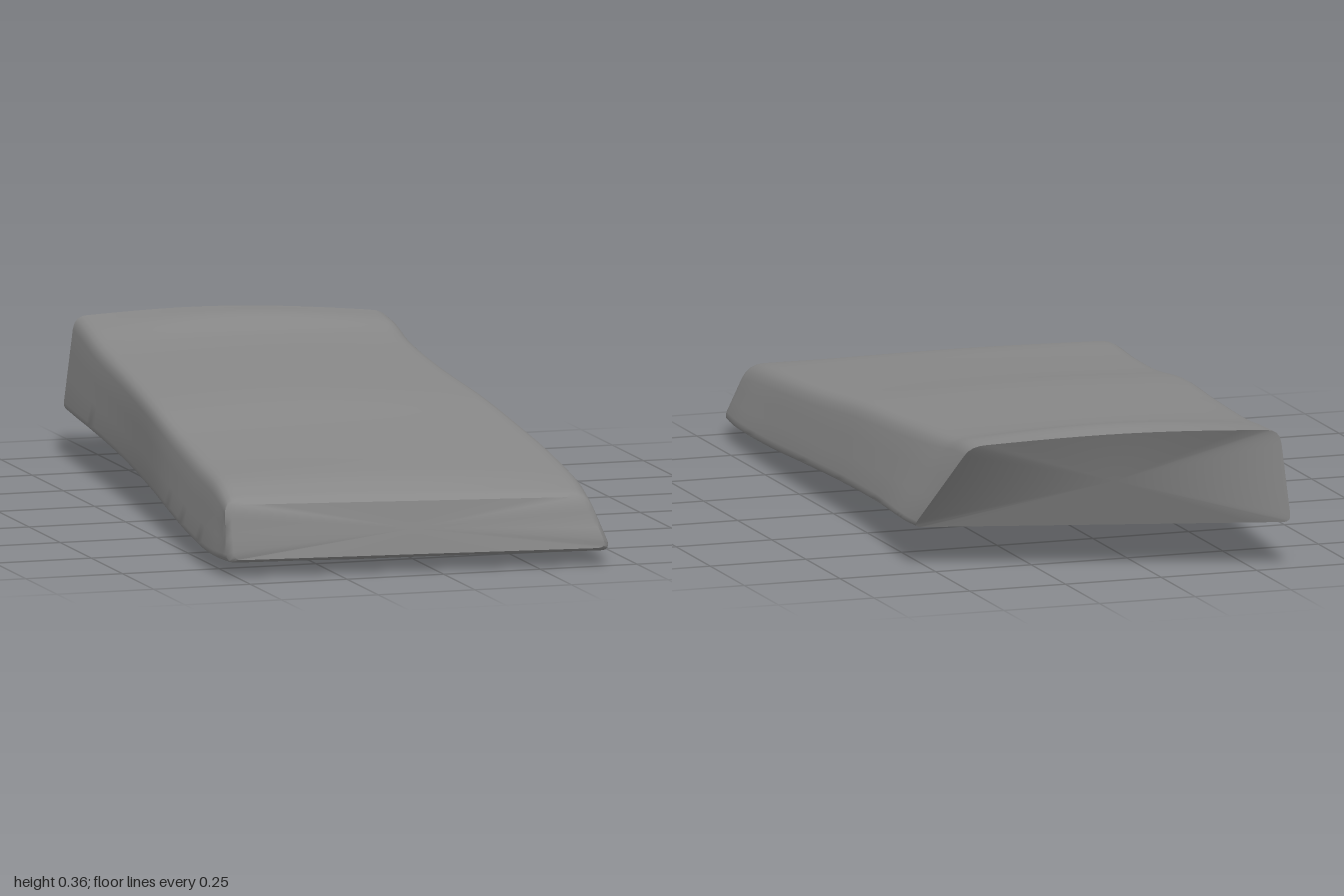
import * as THREE from 'three';
import { toCreasedNormals } from 'three/addons/utils/BufferGeometryUtils.js';

// The four long edges of the slab, each running from the front to the back
const edge = (...pts) => new THREE.CatmullRomCurve3(pts.map(p => new THREE.Vector3(...p)));
const bottomRight = edge([-0.525, 0.037, 0.905], [-0.535, 0.037, 0.78], [-0.51, 0.045, 0.52], [-0.475, 0.06, 0.25],
  [-0.44, 0.075, 0], [-0.4, 0.095, -0.35], [-0.37, 0.11, -0.7], [-0.355, 0.113, -0.86], [-0.34, 0.115, -1]);
const bottomLeft = edge([0.435, 0.037, 1.005], [0.46, 0.042, 0.85], [0.475, 0.05, 0.58], [0.485, 0.065, 0.28],
  [0.49, 0.075, 0], [0.505, 0.085, -0.3], [0.53, 0.095, -0.52], [0.537, 0.098, -0.61], [0.535, 0.1, -0.68]);
const topLeft = edge([0.38, 0.178, 0.975], [0.4, 0.2, 0.83], [0.42, 0.225, 0.57], [0.43, 0.25, 0.27],
  [0.43, 0.275, 0], [0.43, 0.295, -0.35], [0.44, 0.32, -0.68], [0.45, 0.338, -0.8], [0.46, 0.342, -0.9]);
const topRight = edge([-0.525, 0.187, 0.88], [-0.51, 0.217, 0.76], [-0.48, 0.23, 0.52], [-0.45, 0.25, 0.25],
  [-0.43, 0.28, 0], [-0.385, 0.3, -0.35], [-0.345, 0.32, -0.7], [-0.325, 0.338, -0.87], [-0.31, 0.35, -1]);

// Swell of the top (x), sag of the underside (y) and rearward bow of the top (z)
const swell = edge([0, 0, 0], [0.008, 0.018, 0], [0.01, 0.047, 0], [0.01, 0.03, 0], [0.014, 0.01, 0],
  [0.014, 0.008, 0], [0.012, 0.004, 0], [0.022, 0.002, 0.008], [0.014, 0, 0.018]);

const STEPS = 48, SPAN = 12, ROUND = 4, BEVEL = 0.013;
const RADII = [0.02, 0.025, 0.04, 0.035];

// One cross-section: four rounded corners joined by gently bowed sides
function section(t) {
  const c = [bottomRight, bottomLeft, topLeft, topRight].map(e => e.getPoint(t));
  const s = swell.getPoint(t);
  const loop = [];
  const toward = (a, b, r) => a.clone().lerp(b, Math.min(0.45, r / a.distanceTo(b)));
  for (let k = 0; k < 4; k++) {
    const p = c[k], next = c[(k + 1) % 4], prev = c[(k + 3) % 4];
    const start = toward(p, prev, RADII[k]), end = toward(p, next, RADII[k]);
    const bend = new THREE.QuadraticBezierCurve3(start, p, end);
    for (let i = 0; i <= ROUND; i++) loop.push(bend.getPoint(i / ROUND));
    const stop = toward(next, p, RADII[(k + 1) % 4]);
    const n = k % 2 ? 3 : SPAN;
    for (let i = 1; i < n; i++) {
      const u = i / n, v = end.clone().lerp(stop, u);
      if (k === 0) v.y -= s.y * Math.min(u * 3, (1 - u) * 1.5);
      if (k === 2) {
        const bow = Math.sin(Math.PI * u);
        v.y += s.x * bow;
        v.z -= s.z * bow;
      }
      loop.push(v);
    }
  }
  return loop;
}

const centre = loop => loop.reduce((m, p) => m.add(p), new THREE.Vector3()).divideScalar(loop.length);

function slabGeometry() {
  const positions = [], index = [];
  const loops = Array.from({ length: STEPS + 1 }, (_, i) => section(i / STEPS));
  const n = loops[0].length;

  // Softened front rim: a smaller face ahead of a set-back ring
  const middle = centre(loops[0]);
  const face = loops[0].map(p => p.clone().lerp(middle, BEVEL / p.distanceTo(middle)).setY(
    p.y + Math.sign(middle.y - p.y) * BEVEL * 0.6));
  loops[0].forEach(p => { p.z -= BEVEL; });
  loops.unshift(face);
  const last = loops.length - 1;

  loops.flat().forEach(p => positions.push(p.x, p.y, p.z));
  for (let i = 0; i < last; i++) {
    for (let j = 0; j < n; j++) {
      const a = i * n + j, b = i * n + (j + 1) % n;
      index.push(a, b + n, b, a, a + n, b + n);
    }
  }
  // Closed front and back ends
  for (const i of [0, last]) {
    const mid = centre(loops[i]);
    const m = positions.length / 3;
    positions.push(mid.x, mid.y, mid.z);
    for (let j = 0; j < n; j++) {
      const a = i * n + j, b = i * n + (j + 1) % n;
      if (i === 0) index.push(m, a, b);
      else index.push(m, b, a);
    }
  }
  const g = new THREE.BufferGeometry();
  g.setAttribute('position', new THREE.Float32BufferAttribute(positions, 3));
  g.setIndex(index);
  return toCreasedNormals(g, 0.85);
}

export function createModel() {
  const group = new THREE.Group();
  group.name = 'stoneSlab';
  const slab = new THREE.Mesh(slabGeometry(), new THREE.MeshStandardMaterial({ color: 0x888888 }));
  slab.name = 'slab';
  group.add(slab);
  return group;
}
